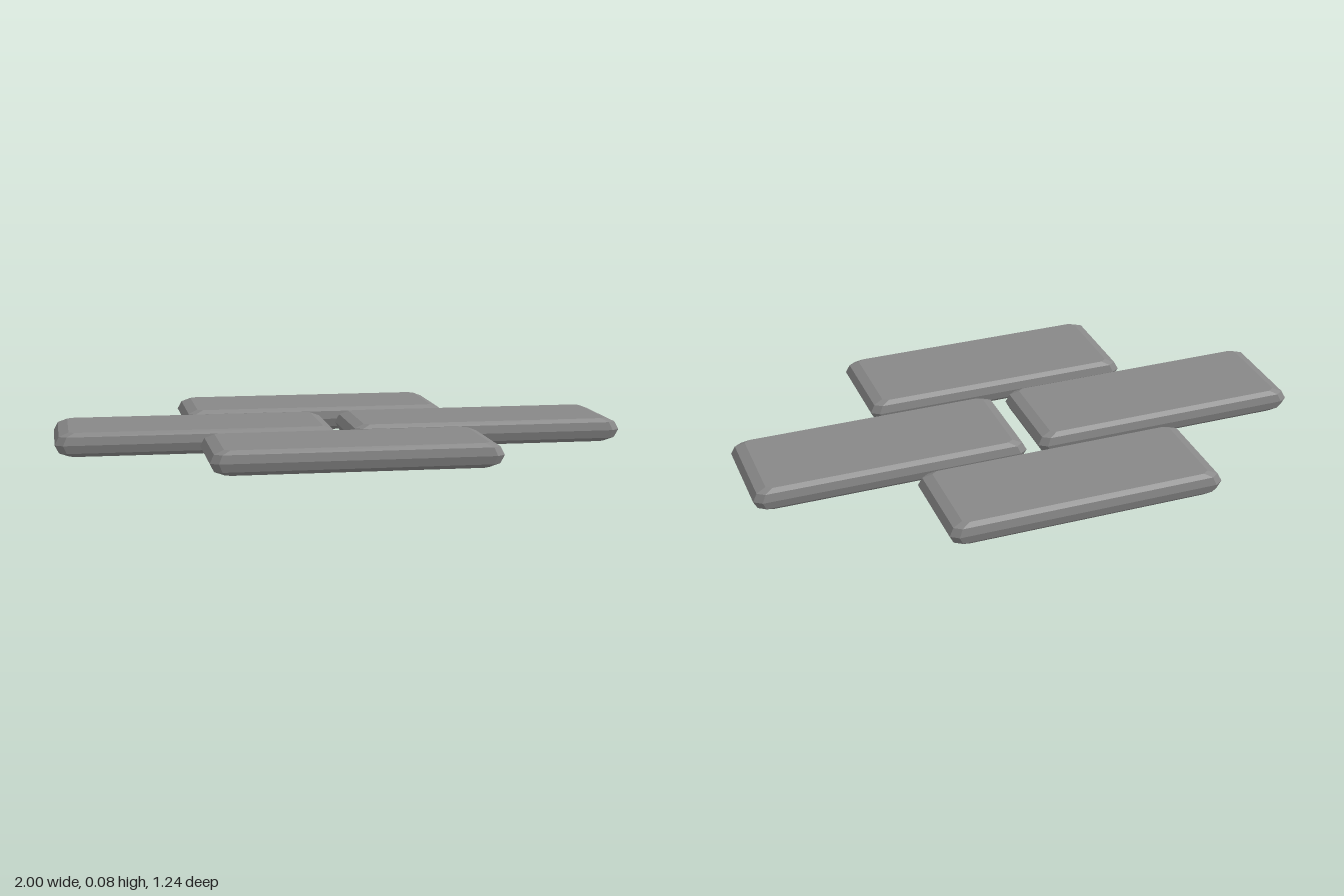
import * as THREE from 'three';

const WIDTH = 0.973, DEPTH = 0.374, HEIGHT = 0.083;

// Cross-section levels: [height fraction, inset fraction]
const LEVELS = [[0, 1], [0.16, 0.3], [0.5, 0], [0.84, 0.3], [1, 1]];
const INSET_X = 0.048, INSET_Z = 0.02;

// Rectangle with cut corners, counter-clockwise seen from above
function outline(inset) {
  const hx = WIDTH / 2 - INSET_X * inset, hz = DEPTH / 2 - INSET_Z * inset;
  const cx = hx - 0.028 + 0.008 * inset, cz = hz - 0.02 + 0.006 * inset;
  return [
    [hx, cz], [hx, -cz], [cx, -hz], [-cx, -hz],
    [-hx, -cz], [-hx, cz], [-cx, hz], [cx, hz],
  ];
}

// Brick with bevelled edges made from stacked outlines
function brickGeometry() {
  const positions = [], indices = [];
  for (const [h, inset] of LEVELS) {
    for (const [x, z] of outline(inset)) positions.push(x, h * HEIGHT, z);
  }
  const n = 8, last = (LEVELS.length - 1) * n;
  for (let l = 0; l < LEVELS.length - 1; l++) {
    for (let i = 0; i < n; i++) {
      const a = l * n + i, b = l * n + (i + 1) % n;
      indices.push(a, b, b + n, a, b + n, a + n);
    }
  }
  // Flat bottom and top
  for (let i = 1; i < n - 1; i++) {
    indices.push(0, i + 1, i, last, last + i, last + i + 1);
  }
  const geometry = new THREE.BufferGeometry();
  geometry.setAttribute('position', new THREE.Float32BufferAttribute(positions, 3));
  geometry.setIndex(indices);
  geometry.computeVertexNormals();
  return geometry;
}

export function createModel() {
  const group = new THREE.Group();
  group.name = 'pavingBricks';
  const material = new THREE.MeshStandardMaterial({ color: 0x888888, flatShading: true });
  const geometry = brickGeometry();

  // Running-bond layout, each brick turned very slightly
  const bricks = [
    ['leftRowBrick', 0.511, 0],
    ['rightRowBrick', -0.511, 0],
    ['frontBrick', -0.03, 0.43],
    ['backBrick', -0.03, -0.43],
  ];
  for (const [name, x, z] of bricks) {
    const brick = new THREE.Mesh(geometry, material);
    brick.name = name;
    brick.position.set(x, 0, z);
    brick.rotation.y = -0.01;
    group.add(brick);
  }
  return group;
}
